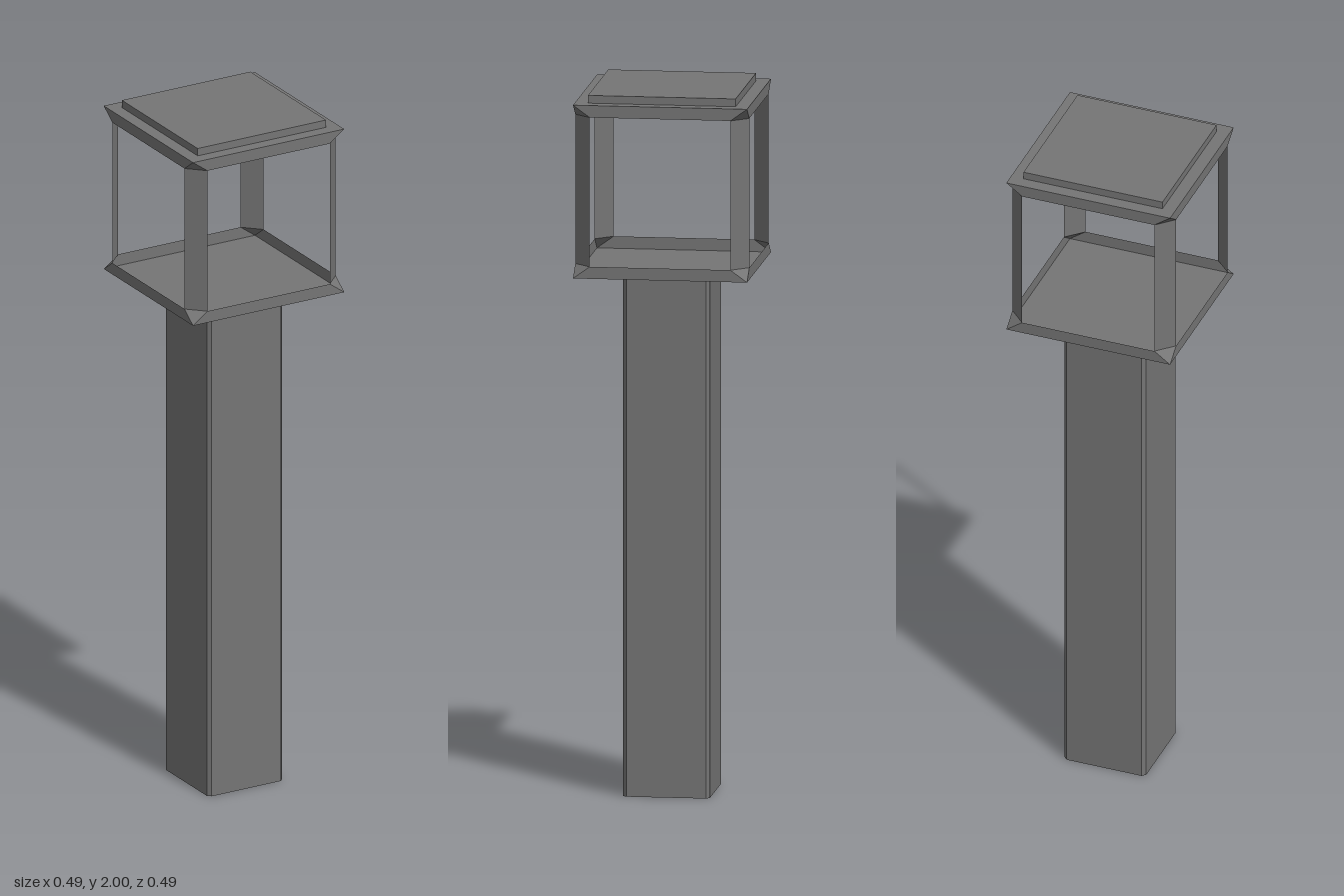
import * as THREE from 'three';

const material = new THREE.MeshStandardMaterial({ color: 0x757575, flatShading: true, side: THREE.DoubleSide });

// Flat convex panel from its corners, counter-clockwise seen from outside
function panel(name, ...corners) {
  const geometry = new THREE.BufferGeometry();
  const points = [];
  for (let i = 1; i < corners.length - 1; i++) points.push(...corners[0], ...corners[i], ...corners[i + 1]);
  geometry.setAttribute('position', new THREE.Float32BufferAttribute(points, 3));
  geometry.computeVertexNormals();
  const mesh = new THREE.Mesh(geometry, material);
  mesh.name = name;
  return mesh;
}

// Horizontal square at height y, facing up or down
function square(name, r, y, up = true) {
  const c = [[-r, y, r], [r, y, r], [r, y, -r], [-r, y, -r]];
  return panel(name, ...(up ? c : c.reverse()));
}

export function createModel() {
  const model = new THREE.Group();

  // Square post with slightly chamfered vertical edges
  const a = 0.122, b = 0.112, postHeight = 1.473;
  const outline = [[a, -b], [a, b], [b, a], [-b, a], [-a, b], [-a, -b], [-b, -a], [b, -a]];
  const postGeometry = new THREE.ExtrudeGeometry(
    new THREE.Shape(outline.map(([x, y]) => new THREE.Vector2(x, y))),
    { depth: postHeight, bevelEnabled: false });
  postGeometry.rotateX(-Math.PI / 2);
  const post = new THREE.Mesh(postGeometry, material);
  post.name = 'post';
  model.add(post);

  // Open lantern housing made of thin sheet
  const lantern = new THREE.Group();
  lantern.name = 'lantern';
  model.add(lantern);
  const R = 0.245, r = 0.198, cap = 0.208;
  const y0 = 1.487, y1 = 1.521, y2 = 1.944, y3 = 1.978, top = 2;

  for (let i = 0; i < 4; i++) {
    const side = new THREE.Group();
    side.name = 'lanternSide';
    side.rotation.y = i * Math.PI / 2;
    side.add(
      // Upright rims of the floor and roof
      panel('floorRim', [-R, y0, R], [R, y0, R], [r, y1, R], [-r, y1, R]),
      panel('roofRim', [-r, y2, R], [r, y2, R], [R, y3, R], [-R, y3, R]),
      // Diagonal corner strip with its triangular ends
      panel('cornerStrip', [r, y1, R], [R, y1, r], [R, y2, r], [r, y2, R]),
      panel('lowerCorner', [R, y0, R], [R, y1, r], [r, y1, R]),
      panel('upperCorner', [R, y3, R], [r, y2, R], [R, y2, r]),
      // Roof ledge and raised cap wall
      panel('roofLedge', [-R, y3, R], [R, y3, R], [cap, y3, cap], [-cap, y3, cap]),
      panel('capWall', [-cap, y3, cap], [cap, y3, cap], [cap, top, cap], [-cap, top, cap]));
    lantern.add(side);
  }
  lantern.add(square('floor', R, y0, false), square('capTop', cap, top));

  return model;
}
